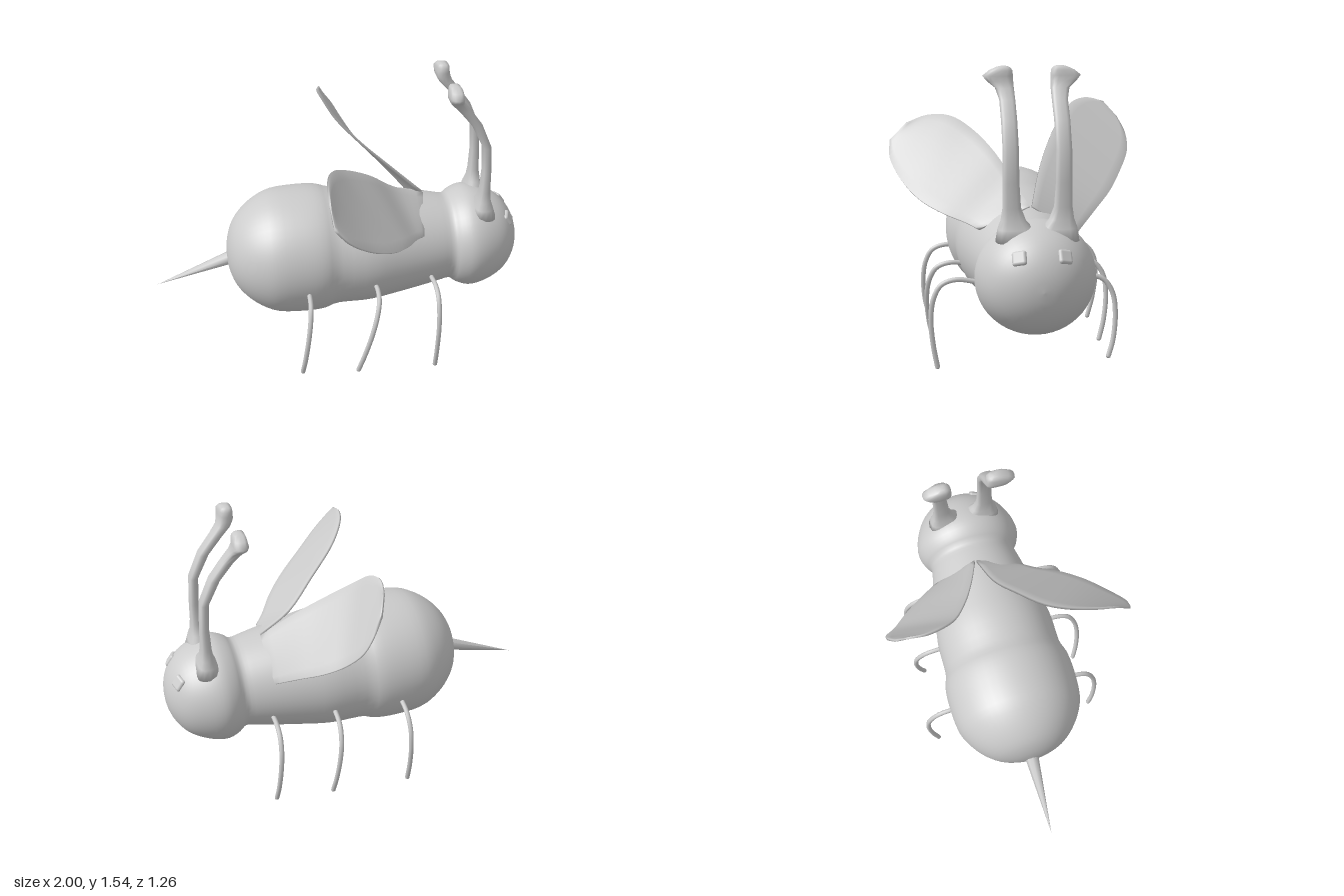
import * as THREE from 'three';
import { RoundedBoxGeometry } from 'three/addons/geometries/RoundedBoxGeometry.js';

const grey = new THREE.MeshStandardMaterial({ color: 0xcccccc });
const thin = new THREE.MeshStandardMaterial({ color: 0xcccccc, side: THREE.DoubleSide });
const MID_Z = -0.04; // the body axis lies slightly off centre
const V = (p) => new THREE.Vector3(...p);

function add(parent, name, geometry, material = grey) {
  const mesh = new THREE.Mesh(geometry, material);
  mesh.name = name;
  parent.add(mesh);
  return mesh;
}

// Skin a list of closed rings (arrays of Vector3) and cap both ends
function loft(rings) {
  const n = rings[0].length, pos = [], idx = [];
  rings.forEach((r) => r.forEach((p) => pos.push(p.x, p.y, p.z)));
  for (let i = 0; i < rings.length - 1; i++) {
    for (let j = 0; j < n; j++) {
      const a = i * n + j, b = i * n + (j + 1) % n;
      idx.push(a, b, b + n, a, b + n, a + n);
    }
  }
  [0, rings.length - 1].forEach((k) => {
    const c = rings[k].reduce((s, p) => s.add(p), new THREE.Vector3()).divideScalar(n);
    const ci = pos.length / 3;
    pos.push(c.x, c.y, c.z);
    for (let j = 0; j < n; j++) {
      const a = k * n + j, b = k * n + (j + 1) % n;
      if (k === 0) idx.push(ci, b, a);
      else idx.push(ci, a, b);
    }
  });
  const g = new THREE.BufferGeometry();
  g.setAttribute('position', new THREE.Float32BufferAttribute(pos, 3));
  g.setIndex(idx);
  g.computeVertexNormals();
  return g;
}

// Turned body part from [x, radius] pairs
function turned(parent, name, profile) {
  const curve = new THREE.SplineCurve(profile.map(([x, r]) => new THREE.Vector2(r, x)));
  const pts = curve.getPoints(60).map((p) => new THREE.Vector2(Math.max(p.x, 0), p.y));
  const g = new THREE.LatheGeometry(pts, 48);
  g.rotateZ(-Math.PI / 2);
  g.scale(1, 1, 1.035);
  add(parent, name, g).position.set(0, 0.547, MID_Z);
}

// Wing blade: leading and trailing edges joined by thin ribs
function wing(parent, name, lead, trail) {
  const a = new THREE.CatmullRomCurve3(lead.map(V));
  const b = new THREE.CatmullRomCurve3(trail.map(V));
  const normal = V(lead[6]).sub(V(lead[0])).cross(V(trail[3]).sub(V(lead[3]))).normalize();
  const rings = [], m = 8;
  for (let i = 0; i <= 24; i++) {
    const p = a.getPoint(i / 24), q = b.getPoint(i / 24), ring = [];
    for (let k = 0; k <= m; k++) ring.push(p.clone().lerp(q, k / m).addScaledVector(normal, 0.006));
    for (let k = m; k >= 0; k--) ring.push(p.clone().lerp(q, k / m).addScaledVector(normal, -0.006));
    rings.push(ring);
  }
  add(parent, name, loft(rings), thin);
}

export function createModel() {
  const model = new THREE.Group();
  model.name = 'bee';

  // Abdomen, thorax and head
  turned(model, 'body', [
    [-0.61, 0], [-0.602, 0.08], [-0.57, 0.17], [-0.51, 0.245], [-0.43, 0.303], [-0.34, 0.337],
    [-0.2, 0.346], [-0.1, 0.34], [-0.02, 0.318], [0.15, 0.316], [0.3, 0.293], [0.47, 0.262],
    [0.55, 0.246], [0.61, 0.236], [0.65, 0.262], [0.71, 0.283], [0.78, 0.275], [0.86, 0.243],
    [0.92, 0.2], [0.965, 0.14], [0.992, 0.07], [1, 0],
  ]);

  // Stinger
  const base = V([-0.56, 0.53, -0.04]), tip = V([-1, 0.375, -0.045]);
  const dir = tip.clone().sub(base);
  const sting = add(model, 'stinger', new THREE.ConeGeometry(0.04, dir.length(), 8));
  sting.position.copy(base).addScaledVector(dir, 0.5);
  sting.quaternion.setFromUnitVectors(V([0, 1, 0]), dir.clone().normalize());

  // Wings, one raised a little higher than the other
  wing(model, 'leftWing',
    [[0.47, 0.83, -0.05], [0.3, 0.91, 0], [0.15, 1.04, 0.08], [0, 1.15, 0.19],
      [-0.08, 1.21, 0.3], [-0.115, 1.21, 0.42], [-0.12, 1.17, 0.53]],
    [[0.43, 0.71, 0.2], [0.38, 0.735, 0.26], [0.31, 0.77, 0.37], [0.21, 0.82, 0.48],
      [0.08, 0.9, 0.57], [-0.04, 1, 0.625], [-0.11, 1.08, 0.62]]);
  wing(model, 'rightWing',
    [[0.47, 0.83, -0.06], [0.3, 0.97, -0.12], [0.15, 1.09, -0.19], [0.03, 1.2, -0.27],
      [-0.03, 1.28, -0.35], [-0.05, 1.3, -0.43], [-0.035, 1.28, -0.52]],
    [[0.46, 0.68, -0.29], [0.36, 0.77, -0.4], [0.26, 0.85, -0.5], [0.17, 0.93, -0.57],
      [0.1, 1.03, -0.625], [0.05, 1.12, -0.625], [0, 1.2, -0.59]]);

  for (const [side, s] of [['left', 1], ['right', -1]]) {
    // Antenna: flared root, flat bent stem, knob turned outwards
    // rows: x, y, outward offset, half depth, half width
    const rows = [
      [0.78, 0.74, 0.1, 0.07, 0.1], [0.78, 0.8, 0.105, 0.05, 0.085], [0.78, 0.84, 0.115, 0.035, 0.06],
      [0.78, 0.9, 0.122, 0.027, 0.044], [0.78, 1.02, 0.125, 0.023, 0.039], [0.77, 1.17, 0.125, 0.023, 0.038],
      [0.71, 1.3, 0.125, 0.028, 0.038], [0.64, 1.39, 0.125, 0.032, 0.038], [0.597, 1.44, 0.133, 0.036, 0.045],
      [0.583, 1.47, 0.152, 0.038, 0.063], [0.58, 1.495, 0.163, 0.037, 0.073], [0.58, 1.52, 0.148, 0.034, 0.056],
      [0.578, 1.535, 0.138, 0.026, 0.032], [0.577, 1.54, 0.135, 0.012, 0.014],
    ];
    const round = (c) => Math.sign(c) * Math.abs(c) ** 0.7;
    add(model, side + 'Antenna', loft(rows.map(([x, y, o, rx, rz]) =>
      Array.from({ length: 16 }, (_, j) => {
        const t = (j / 16) * Math.PI * 2;
        return V([x + rx * round(Math.cos(t)), y, MID_Z + s * o - rz * round(Math.sin(t))]);
      }))));

    // Eye set on the head surface
    const out = V([0.215, 0.152, s * 0.108]).normalize();
    const eye = add(model, side + 'Eye', new RoundedBoxGeometry(0.07, 0.07, 0.035, 3, 0.014));
    eye.position.set(0.72, 0.547, MID_Z).addScaledVector(out, 0.277);
    eye.lookAt(eye.position.clone().add(out));
    eye.rotateZ(s * 0.25);
  }

  // Legs: [name, top x, foot x, foot y, side, reach]
  const legs = [
    ['leftFrontLeg', 0.48, 0.475, 0.012, 1, 0], ['leftMiddleLeg', 0.165, 0.05, 0.025, 1, 0],
    ['leftRearLeg', -0.2, -0.255, 0.05, 1, 0], ['rightFrontLeg', 0.48, 0.52, 0.045, -1, 0.04],
    ['rightMiddleLeg', 0.16, 0.21, 0.025, -1, 0.06], ['rightRearLeg', -0.205, -0.21, 0.012, -1, 0.085],
  ];
  for (const [name, x0, x1, y1, s, reach] of legs) {
    // rows: outward distance, share of reach, y
    const path = [[0.22, 0, 0.455], [0.32, 0.5, 0.47], [0.395, 0.8, 0.445], [0.435, 1, 0.375],
      [0.45, 1, 0.27], [0.44, 0.95, 0.13], [0.42, 0.85, y1]]
      .map(([z, k, y]) => V([x0 + (x1 - x0) * (0.465 - y) / (0.465 - y1), y, s * (z + k * reach)]));
    add(model, name, new THREE.TubeGeometry(new THREE.CatmullRomCurve3(path), 32, 0.013, 8));
    const foot = add(model, name + 'Foot', new THREE.SphereGeometry(0.013, 8, 6));
    foot.position.copy(path[path.length - 1]);
  }
  return model;
}
